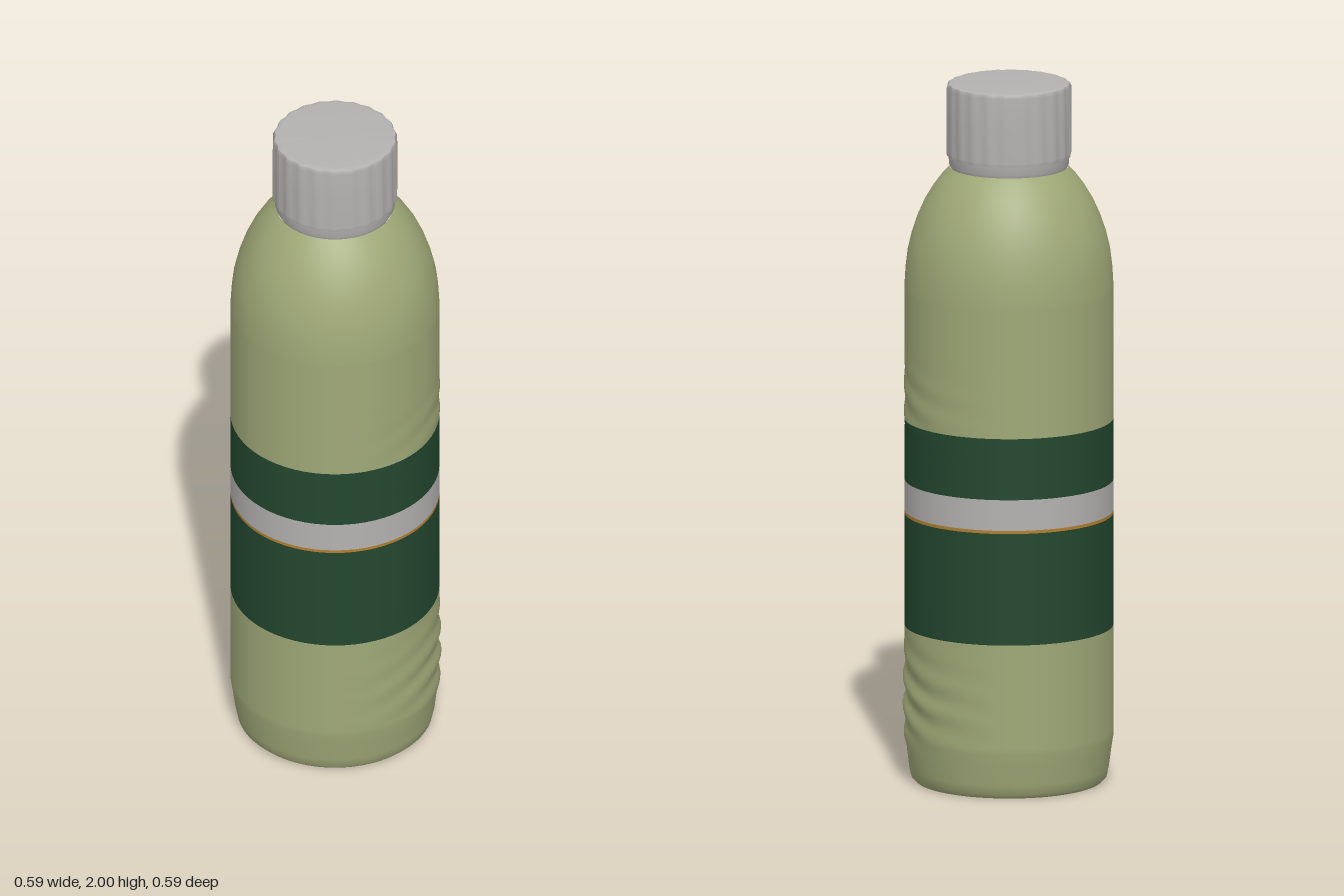
import * as THREE from 'three';
import { mergeVertices } from 'three/addons/utils/BufferGeometryUtils.js';

const paint = (name, color) => {
  const m = new THREE.MeshStandardMaterial({ color });
  m.name = name;
  return m;
};

// Soft creases, deepest on the lower back-left side and faint above the bands
function creaseDepth(a, y) {
  const side = Math.max(0, Math.cos(a - 2.2)) ** 2;
  const low = Math.exp(-(((y - 0.25) / 0.12) ** 2));
  const high = 0.4 * Math.exp(-(((y - 1.1) / 0.08) ** 2));
  return 0.006 * side * (low + high) * Math.sin(y * 75 + 3 * Math.sin(a * 2.5));
}

// Revolves [radius, y] points, then shifts each radius by rule(angle, y, radius)
function turned(points, segments, rule) {
  let g = new THREE.LatheGeometry(points.map(([r, y]) => new THREE.Vector2(r, y)), segments);
  const p = g.attributes.position;
  for (let i = 0; i < p.count; i++) {
    const x = p.getX(i), z = p.getZ(i), r = Math.hypot(x, z);
    if (r < 0.001) continue;
    const k = 1 + rule(Math.atan2(x, z), p.getY(i), r) / r;
    p.setX(i, x * k);
    p.setZ(i, z * k);
  }
  g.deleteAttribute('uv');
  g.deleteAttribute('normal');
  g = mergeVertices(g, 1e-5);
  g.computeVertexNormals();
  return g;
}

// Straight wall between two heights
function wall(y0, y1, r = 0.293) {
  const n = Math.max(1, Math.ceil((y1 - y0) / 0.015));
  return Array.from({ length: n + 1 }, (_, i) => [r, y0 + ((y1 - y0) * i) / n]);
}

export function createModel() {
  const group = new THREE.Group();
  const sage = paint('sage green', 0x9fa877);
  const forest = paint('forest green', 0x23472f);
  const silver = paint('light grey', 0xb4b2b0);
  const amber = paint('amber', 0xb07f30);

  const add = (name, geometry, material) => {
    const mesh = new THREE.Mesh(geometry, material);
    mesh.name = name;
    group.add(mesh);
  };
  const body = (name, points, material) => add(name, turned(points, 64, creaseDepth), material);

  // Body, bottom to top
  body('base', [[0, 0], [0.262, 0]], sage);
  body('lowerBody', [[0.262, 0], [0.274, 0.012], [0.28, 0.04], [0.288, 0.1], ...wall(0.13, 0.445)], sage);
  body('lowerBand', wall(0.445, 0.765), forest);
  body('thinStripe', wall(0.765, 0.774), amber);
  body('paleStripe', wall(0.774, 0.862), silver);
  body('upperBand', wall(0.862, 1.037), forest);
  body('upperBody', [
    ...wall(1.037, 1.42), [0.29, 1.47], [0.284, 1.52], [0.272, 1.57], [0.257, 1.615],
    [0.237, 1.66], [0.213, 1.7], [0.187, 1.735], [0.165, 1.757],
  ], sage);

  // Neck ring under the cap
  add('neckRing', turned([[0.16, 1.75], [0.168, 1.765], [0.17, 1.795]], 48, () => 0), silver);

  // Cap with shallow grip ridges
  const ridges = (a, y, r) => 0.0025 * (r / 0.172) * Math.cos(22 * a);
  add('capUnderside', turned([[0.15, 1.79], [0.172, 1.79]], 88, ridges), silver);
  add('capSide', turned([[0.172, 1.79], [0.174, 1.8], [0.174, 1.9], [0.173, 1.985], [0.169, 1.995]], 88, ridges), silver);
  add('capTop', turned([[0.169, 1.995], [0.155, 2], [0, 2]], 88, ridges), silver);

  return group;
}
